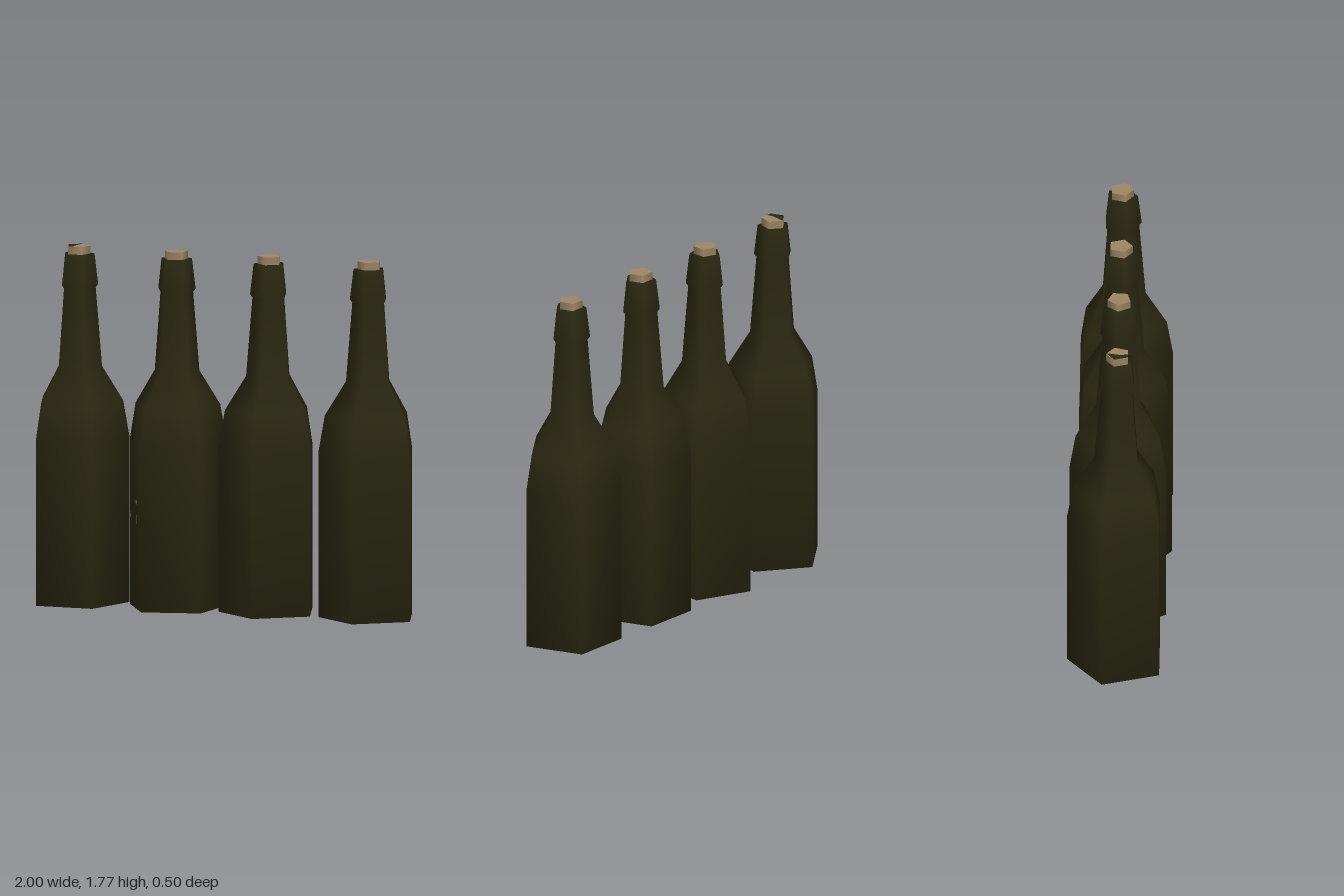
import * as THREE from 'three';

const glass = new THREE.MeshStandardMaterial({ color: 0x2a2811 });
glass.name = 'dark olive glass';
const corkTan = new THREE.MeshStandardMaterial({ color: 0x9c8666 });
corkTan.name = 'cork tan';

const SIDES = 5;
const deg = THREE.MathUtils.degToRad;
const lathe = (pts) =>
  new THREE.LatheGeometry(pts.map(([r, y]) => new THREE.Vector2(r, y)), SIDES);

function named(name, geometry, material) {
  const mesh = new THREE.Mesh(geometry, material);
  mesh.name = name;
  return mesh;
}

export function createModel() {
  const model = new THREE.Group();
  model.name = 'bottleRow';

  // Five-sided bottle: base, body, shoulder, neck, collar and rim
  const bottleGeometry = lathe([
    [0, 0], [0.251, 0], [0.251, 0.82], [0.22, 1.0], [0.116, 1.17],
    [0.085, 1.56], [0.097, 1.575], [0.079, 1.727], [0.05, 1.727],
  ]);

  // Cork stub; its edge is doubled so the top stays flat
  const corkGeometry = lathe([
    [0.06, 1.715], [0.06, 1.765], [0.06, 1.765], [0, 1.765],
  ]);

  // Position along the row and turn of each bottle
  const bottles = [[-0.761, 180], [-0.25, -23], [0.239, 0], [0.761, 0]].map(([x, turn], i) => {
    const bottle = new THREE.Group();
    bottle.name = `bottle${i + 1}`;
    bottle.position.x = x;
    bottle.rotation.y = deg(turn);
    bottle.add(named('glassBody', bottleGeometry, glass));
    bottle.add(named('cork', corkGeometry, corkTan));
    model.add(bottle);
    return bottle;
  });

  // Dark stain over one half of the first cork
  const stain = new THREE.Shape();
  stain.moveTo(-0.004, -0.06);
  stain.lineTo(0.057, -0.0185);
  stain.lineTo(0.035, 0.0485);
  stain.lineTo(0.008, 0.0485);
  stain.lineTo(0.012, 0.01);
  const stainMesh = named('corkStain', new THREE.ShapeGeometry(stain), glass);
  stainMesh.rotation.x = -Math.PI / 2;
  stainMesh.position.y = 1.767;
  bottles[0].add(stainMesh);

  // Small pale chips on two faces of the second bottle:
  // face angle, offset along the face, height, width, tall
  const inradius = 0.251 * Math.cos(Math.PI / SIDES);
  const chips = [
    [-36, 0.03, 0.53, 0.036, 0.03],
    [-36, 0.04, 0.445, 0.012, 0.07],
    [-36, -0.125, 0.445, 0.025, 0.035],
    [-108, 0, 0.63, 0.04, 0.045],
    [-108, -0.05, 0.63, 0.012, 0.045],
  ];
  for (const [angle, offset, y, w, h] of chips) {
    const face = new THREE.Group();
    face.name = 'chipMount';
    face.rotation.y = deg(angle);
    const chip = named('chip', new THREE.CircleGeometry(0.5, 6), corkTan);
    chip.scale.set(w, h, 1);
    chip.position.set(offset, y, inradius + 0.002);
    face.add(chip);
    bottles[1].add(face);
  }

  return model;
}
